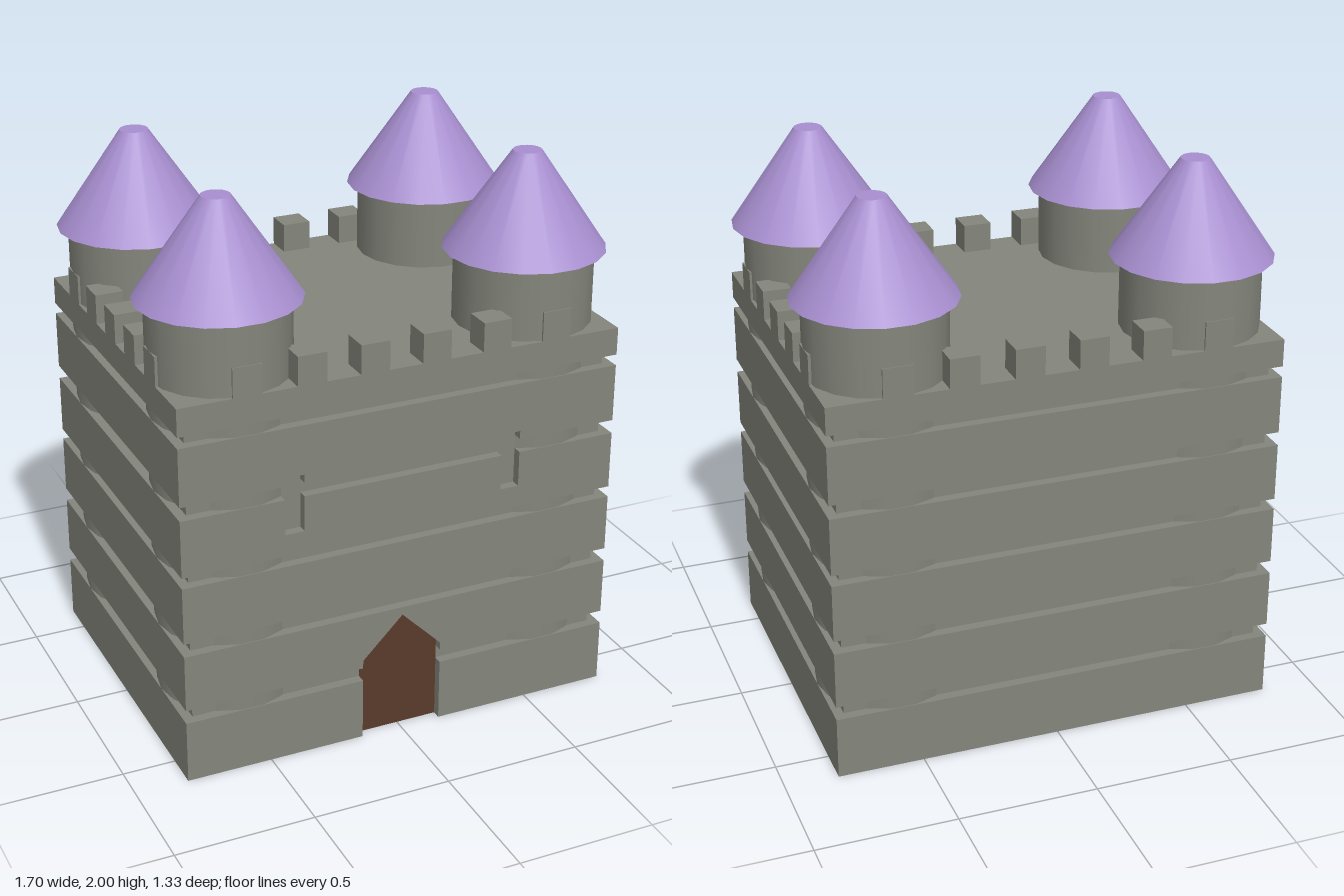
import * as THREE from 'three';

const stone = new THREE.MeshStandardMaterial({ color: 0x84867c });
stone.name = 'grey stone';
const roofMat = new THREE.MeshStandardMaterial({ color: 0xa88fd0 });
roofMat.name = 'purple roof';
const wood = new THREE.MeshStandardMaterial({ color: 0x5a3a2c });
wood.name = 'brown wood';

const W = 0.81, D = 0.63;              // outer half sizes
const CW = 0.775, CD = 0.595;          // half sizes at the bottom of the grooves
const IW = 0.65, ID = 0.46, IR = 0.06; // hollow inside
const TX = 0.565, TZ = 0.385, TR = 0.245; // corner towers
const TOP = 1.4, CEILING = 1.24;
const STEP = Math.PI / 9;

export function createModel() {
  const model = new THREE.Group();
  model.name = 'castle';

  const add = (name, geometry, material, x = 0, y = 0, z = 0) => {
    const mesh = new THREE.Mesh(geometry, material);
    mesh.name = name;
    mesh.position.set(x, y, z);
    model.add(mesh);
    return mesh;
  };
  // Box given by its lower and upper limits
  const block = (name, x0, x1, y0, y1, z0, z1) =>
    add(name, new THREE.BoxGeometry(x1 - x0, y1 - y0, z1 - z0), stone,
      (x0 + x1) / 2, (y0 + y1) / 2, (z0 + z1) / 2);
  const polygon = (pts) => new THREE.Shape(pts.map(([x, y]) => new THREE.Vector2(x, y)));
  // Upright plate extruded towards +z
  const plate = (name, pts, z, depth, material) =>
    add(name, new THREE.ExtrudeGeometry(polygon(pts), { depth, bevelEnabled: false }), material, 0, 0, z);

  // Hollow core with a rounded cavity, open below
  const ring = polygon([[-CW, -CD], [CW, -CD], [CW, CD], [-CW, CD]]);
  const hole = new THREE.Path();
  hole.absarc(IW - IR, ID - IR, IR, 0, Math.PI / 2);
  hole.absarc(-IW + IR, ID - IR, IR, Math.PI / 2, Math.PI);
  hole.absarc(-IW + IR, -ID + IR, IR, Math.PI, Math.PI * 1.5);
  hole.absarc(IW - IR, -ID + IR, IR, Math.PI * 1.5, Math.PI * 2);
  hole.closePath();
  ring.holes.push(hole);
  const coreGeo = new THREE.ExtrudeGeometry(ring, { depth: CEILING - 0.003, bevelEnabled: false, curveSegments: 6 });
  coreGeo.rotateX(-Math.PI / 2);
  add('core', coreGeo, stone, 0, 0.003, 0);
  block('ceiling', -CW, CW, CEILING, 1.35, -CD, CD);
  block('roofSlab', -W, W, 1.3, TOP, -D, D);

  // Stone courses: sides and back are plain, the front leaves room for door and windows
  const courses = [[0, 0.23], [0.28, 0.49], [0.54, 0.75], [0.79, 1.0], [1.05, 1.26]];
  const winIn = 0.37, winOut = 0.44, winLow = 0.87, winHigh = 1.08;
  courses.forEach(([y0, y1], i) => {
    for (const s of [-1, 1]) {
      const xs = [s * CW, s * W].sort((a, b) => a - b);
      block('sideCourse', xs[0], xs[1], y0, y1, -D, D);
    }
    block('backCourse', -CW, CW, y0, y1, -D, -CD);
    if (i === 0) {
      block('frontCourse', -CW, -0.15, y0, y1, CD, D);
      block('frontCourse', 0.15, CW, y0, y1, CD, D);
      return;
    }
    let low = [[-CW, y0], [CW, y0]];
    let high = [[CW, y1], [-CW, y1]];
    if (i === 1) low = [[-CW, y0], [-0.15, y0], [-0.15, 0.31], [0, 0.46], [0.15, 0.31], [0.15, y0], [CW, y0]];
    const notch = (base, level) => [[-CW, base], [-winOut, base], [-winOut, level], [-winIn, level], [-winIn, base],
      [winIn, base], [winIn, level], [winOut, level], [winOut, base], [CW, base]];
    if (i === 3) high = notch(y1, winLow).reverse();
    if (i === 4) low = notch(y0, winHigh);
    plate('frontCourse', [...low, ...high], CD, D - CD, stone);
  });

  // Door: recessed outside, with its upper part showing inside
  plate('door', [[-0.15, 0], [0.15, 0], [0.15, 0.31], [0, 0.46], [-0.15, 0.31]], 0.545, 0.053, wood);
  plate('doorInside', [[-0.15, 0.2], [0.15, 0.2], [0.15, 0.31], [0, 0.46], [-0.15, 0.31]], ID - 0.004, 0.008, wood);

  // Corner towers: outer curve shows in the grooves, full drum and roof above
  for (const sx of [-1, 1]) {
    for (const sz of [-1, 1]) {
      const start = THREE.MathUtils.degToRad(sx > 0 ? (sz > 0 ? -50 : 50) : (sz > 0 ? -130 : 130));
      const x = sx * TX, z = sz * TZ;
      add('towerShaft', new THREE.CylinderGeometry(TR, TR, 1.3, 9, 1, true, start, Math.PI), stone, x, 0.7, z);
      add('towerDrum', new THREE.CylinderGeometry(TR, TR, 0.3, 18, 1, false, STEP / 2, Math.PI * 2), stone, x, 1.51, z);
      add('towerRoof', new THREE.CylinderGeometry(0.05, 0.284, 0.343, 18, 1, false, STEP / 2, Math.PI * 2), roofMat, x, 1.8285, z);
    }
  }

  // Battlements along all four edges
  const tooth = 0.052, deep = 0.1;
  for (const s of [-1, 1]) {
    for (const k of [-2.5, -1.5, -0.5, 0.5, 1.5, 2.5]) {
      const x = k * 0.226, z = s * (D - deep / 2);
      block('battlement', x - tooth, x + tooth, TOP, 1.505, z - deep / 2, z + deep / 2);
    }
    for (const k of [-2, -1, 0, 1, 2]) {
      const z = k * 0.195, x = s * (W - deep / 2);
      block('battlement', x - deep / 2, x + deep / 2, TOP, 1.505, z - tooth, z + tooth);
    }
  }
  return model;
}
